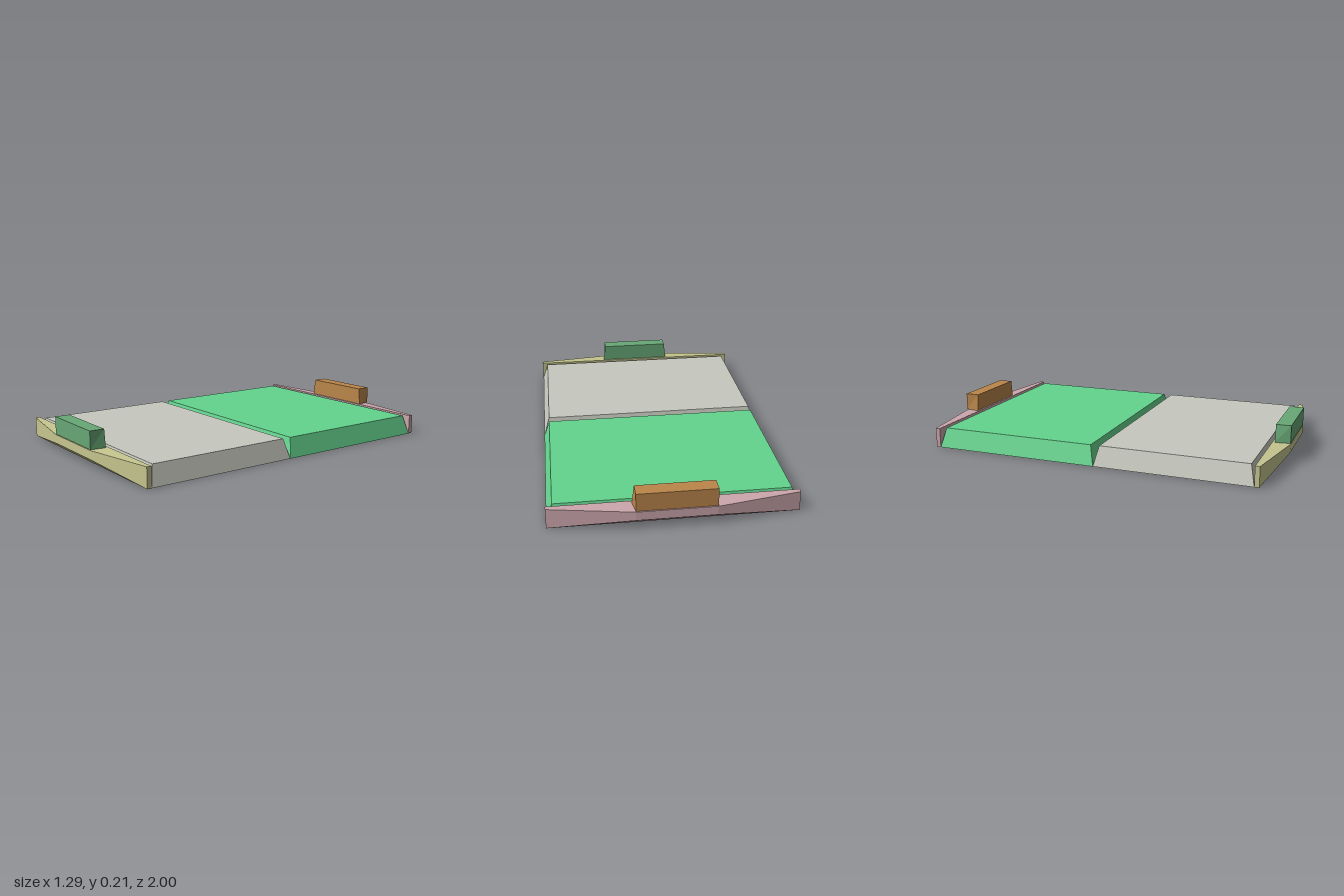
import * as THREE from 'three';

// Skins matching corner loops, ordered along an axis and counter-clockwise seen from its far end
function loft(name, loops, color) {
  const positions = [];
  const n = loops[0].length;
  const tri = (...corners) => {
    const [a, b, c] = corners.map((p) => new THREE.Vector3(...p));
    if (new THREE.Triangle(a, b, c).getArea() < 1e-7) return;
    positions.push(...corners.flat());
  };
  for (let s = 0; s < loops.length - 1; s++) {
    const a = loops[s], b = loops[s + 1];
    for (let i = 0; i < n; i++) {
      const j = (i + 1) % n;
      tri(a[i], a[j], b[j]);
      tri(a[i], b[j], b[i]);
    }
  }
  const first = loops[0], last = loops[loops.length - 1];
  for (let i = 1; i < n - 1; i++) {
    tri(first[0], first[i + 1], first[i]);
    tri(last[0], last[i], last[i + 1]);
  }
  const geometry = new THREE.BufferGeometry();
  geometry.setAttribute('position', new THREE.Float32BufferAttribute(positions, 3));
  geometry.computeVertexNormals();
  const mesh = new THREE.Mesh(geometry, new THREE.MeshStandardMaterial({ color, flatShading: true }));
  mesh.name = name;
  return mesh;
}

// Level rectangle; the half width may differ between its near (z0) and far (z1) edges
const rect = (y, z0, z1, w0, w1 = w0) => [[-w1, y, z1], [w1, y, z1], [w0, y, z0], [-w0, y, z0]];

// Slab with bevelled sides
function slab(name, z0, z1, color) {
  return loft(name, [
    rect(0, z0, z1, 0.643),
    rect(0.108, z0 + 0.025, z1 - 0.025, 0.61),
  ], color);
}

// End rail: thin upright at the corners, bulging outward and tapering up in the middle
function endRail(name, color) {
  const corner = [[0.93, 0], [0.905, 0], [0.905, 0.11], [0.93, 0.11], [0.93, 0]];
  const middle = [[0.93, 0], [0.905, 0], [0.905, 0.11], [1, 0.104], [1, 0.055]];
  const at = (x, profile) => profile.map(([z, y]) => [x, y, z]);
  return loft(name, [at(-0.643, corner), at(-0.205, middle), at(0.205, middle), at(0.643, corner)], color);
}

// Raised block standing on the rail
function endBlock(name, color) {
  return loft(name, [
    rect(0.108, 0.918, 1, 0.217, 0.205),
    rect(0.206, 0.918, 1, 0.205),
  ], color);
}

export function createModel() {
  const model = new THREE.Group();
  model.name = 'twoPanelPlatform';

  model.add(slab('frontSlab', 0.04, 0.905, 0xc6c8be));
  model.add(slab('backSlab', -0.905, 0.04, 0x64d48e));

  // Front and back ends share the same shapes, turned half around
  const ends = [
    ['front', 0, 0xc6c690, 0x68a876],
    ['back', Math.PI, 0xcba6ac, 0xba864a],
  ];
  for (const [side, turn, railColor, blockColor] of ends) {
    const end = new THREE.Group();
    end.name = side + 'End';
    end.add(endRail(side + 'Rail', railColor), endBlock(side + 'Block', blockColor));
    end.rotation.y = turn;
    model.add(end);
  }
  return model;
}
